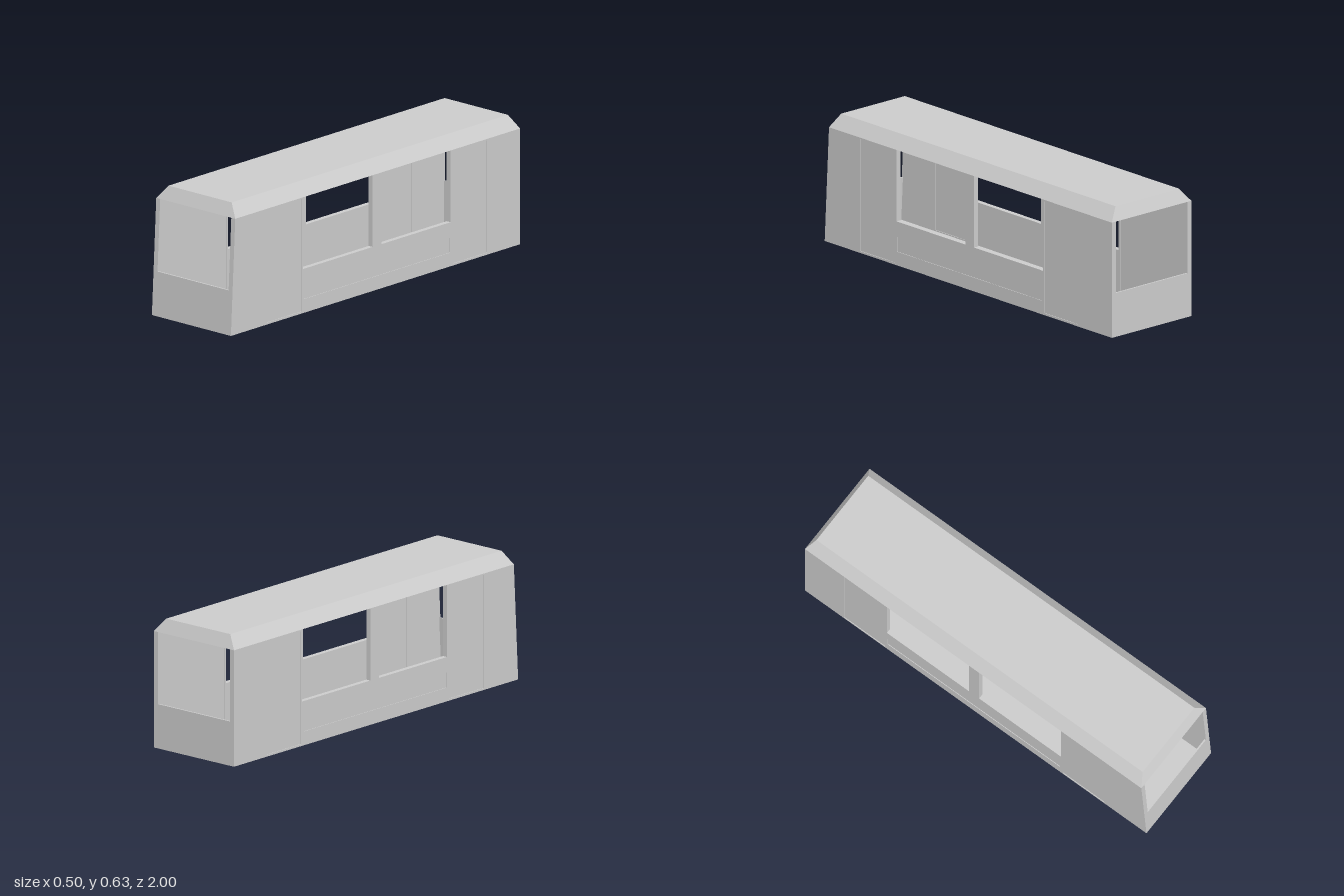
import * as THREE from 'three';

const W = 0.25, WALL = 0.025, SKIN = 0.003, EAVE = 0.565, SILL = 0.215;
const frontZ = (y) => 1 - 0.03 * (y / EAVE); // the front end leans back

const material = new THREE.MeshStandardMaterial({ color: 0xcccccc, flatShading: true, side: THREE.DoubleSide });

function mesh(name, geometry) {
  const m = new THREE.Mesh(geometry, material);
  m.name = name;
  return m;
}

// Side outline in (z, y): two window notches open up to the eaves
function sideShape() {
  return new THREE.Shape([
    [-1, 0], [1, 0], [frontZ(EAVE), EAVE],
    [0.5, EAVE], [0.5, SILL], [0.02, SILL], [0.02, EAVE],
    [-0.04, EAVE], [-0.04, SILL], [-0.52, SILL], [-0.52, EAVE],
    [-1, EAVE],
  ].map(([z, y]) => new THREE.Vector2(z, y)));
}

function rectHole(z0, z1, y0, y1) {
  return new THREE.Path([[z0, y0], [z0, y1], [z1, y1], [z1, y0]].map(([z, y]) => new THREE.Vector2(z, y)));
}

// Extrude a (z, y) shape along x, from xMin to xMax
function extrudeX(shape, xMin, xMax) {
  const g = new THREE.ExtrudeGeometry(shape, { depth: xMax - xMin, bevelEnabled: false });
  return g.rotateY(-Math.PI / 2).translate(xMax, 0, 0);
}

function sideWall(side) {
  const wall = new THREE.Group();
  wall.name = side > 0 ? 'leftWall' : 'rightWall';
  const layer = (name, shape, inner, outer) =>
    wall.add(mesh(name, extrudeX(shape, Math.min(side * inner, side * outer), Math.max(side * inner, side * outer))));

  const doors = () => [rectHole(0.51, 0.755, 0.01, 0.558), rectHole(-0.77, -0.53, 0.01, 0.558)];

  // Core carries the recessed doors and trim band; skins frame them
  layer('wallCore', sideShape(), W - WALL + SKIN, W - SKIN);
  const outer = sideShape();
  outer.holes = [...doors(), rectHole(-0.515, 0.495, 0.067, 0.14)];
  layer('outerSkin', outer, W - SKIN, W);
  const inner = sideShape();
  inner.holes = doors();
  layer('innerSkin', inner, W - WALL, W - WALL + SKIN);
  return wall;
}

// Thin end panel below the end window
function endPanel(name, z0, z1, t) {
  const shape = new THREE.Shape([[z0 - t, 0], [z0, 0], [z1, SILL], [z1 - t, SILL]].map(([z, y]) => new THREE.Vector2(z, y)));
  return mesh(name, extrudeX(shape, -W + WALL, W - WALL));
}

// Hollow roof: eave ring, smaller top ring and a flat cap
function roof() {
  const ring = (x, y, front, back) => [[x, y, front], [x, y, back], [-x, y, back], [-x, y, front]];
  const a = ring(W, EAVE, frontZ(EAVE), -1);
  const b = ring(0.2, 0.628, 0.94, -0.97);
  const pos = [];
  const quad = (p, q, r, s) => pos.push(...p, ...q, ...r, ...p, ...r, ...s);
  for (let i = 0; i < 4; i++) {
    const j = (i + 1) % 4;
    quad(a[i], a[j], b[j], b[i]);
  }
  quad(b[0], b[1], b[2], b[3]);
  const g = new THREE.BufferGeometry();
  g.setAttribute('position', new THREE.Float32BufferAttribute(pos, 3));
  g.computeVertexNormals();
  return mesh('roof', g);
}

export function createModel() {
  const car = new THREE.Group();
  car.name = 'railCarBody';

  for (const side of [1, -1]) car.add(sideWall(side));
  car.add(endPanel('frontPanel', 1, frontZ(SILL), 0.008));
  car.add(endPanel('backPanel', -0.992, -0.992, 0.008));

  const floor = mesh('floor', new THREE.BoxGeometry(2 * (W - WALL), 0.004, 1.984));
  floor.position.y = 0.002;
  car.add(floor, roof());
  return car;
}
